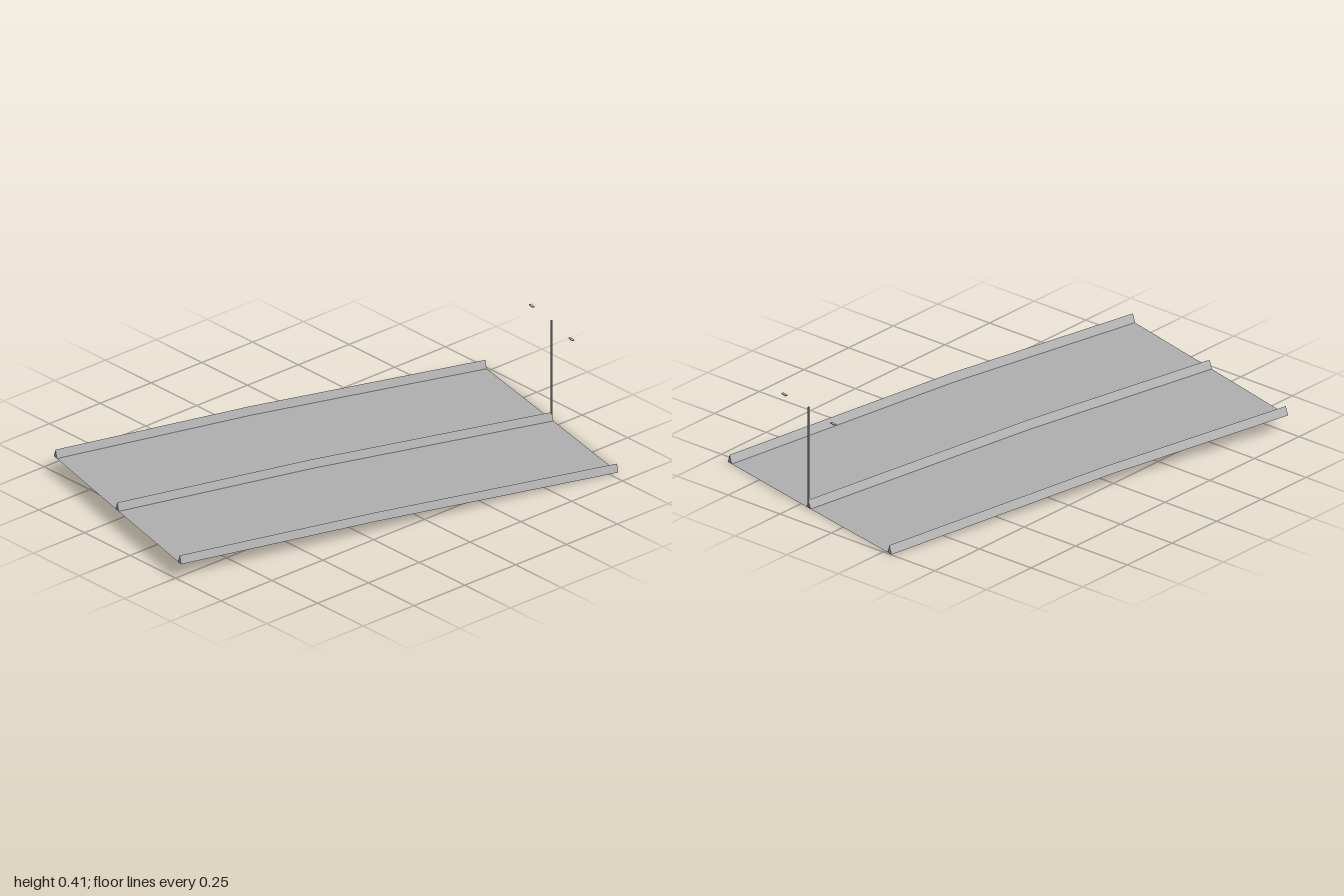
import * as THREE from 'three';

const concrete = new THREE.MeshStandardMaterial({ color: 0xb0b0b0, side: THREE.DoubleSide });
concrete.name = 'concreteGrey';

// Road stations along the right-hand edge line, centre line and far edge line: [x, y, z]
const lines = {
  front: [[-0.996, 0.068, 0.267], [-0.2, 0.05, 0.458], [0.787, 0.001, 0.677]],
  middle: [[-0.877, 0.068, -0.208], [-0.08, 0.05, -0.02], [0.892, 0.001, 0.204]],
  back: [[-0.757, 0.068, -0.681], [0.035, 0.05, -0.497], [0.995, 0.001, -0.277]],
};
const across = new THREE.Vector3(0.24, 0, -0.97); // from the front edge to the back edge

// Flat-shaded surface from a list of rows of points, plus optional cap faces
function loft(name, rows, capEnds = false) {
  const pos = [];
  const tri = (a, b, c) => [a, b, c].forEach((p) => pos.push(p.x, p.y, p.z));
  for (let i = 0; i < rows.length - 1; i++) {
    for (let j = 0; j < rows[i].length - 1; j++) {
      const [a, b, c, d] = [rows[i][j], rows[i + 1][j], rows[i + 1][j + 1], rows[i][j + 1]];
      tri(a, b, c);
      tri(a, c, d);
    }
  }
  if (capEnds) {
    const s = rows[0], e = rows[rows.length - 1];
    tri(s[0], s[1], s[2]);
    tri(e[0], e[2], e[1]);
  }
  const geo = new THREE.BufferGeometry();
  geo.setAttribute('position', new THREE.Float32BufferAttribute(pos, 3));
  geo.computeVertexNormals();
  const mesh = new THREE.Mesh(geo, concrete);
  mesh.name = name;
  return mesh;
}

const point = (p) => new THREE.Vector3(...p);

// Wedge-shaped kerb wall following one of the lines
function barrier(name, line) {
  const profile = [[-0.012, 0], [-0.002, 0.032], [0.012, 0]]; // [across, up]
  const rows = line.map((p) => profile.map(([s, h]) => {
    const v = point(p).addScaledVector(across, s);
    v.y += h;
    return v;
  }));
  return loft(name, rows, true);
}

export function createModel() {
  const model = new THREE.Group();
  model.name = 'roadSection';

  // Road deck: two lanes, bending down once
  const deckRows = [0, 1, 2].map((i) => [lines.front, lines.middle, lines.back].map((l) => point(l[i])));
  model.add(loft('roadDeck', deckRows));

  // Barriers
  for (const key of Object.keys(lines)) model.add(barrier(key + 'Barrier', lines[key]));

  // Lamp post on the centre barrier
  const lampPost = new THREE.Group();
  lampPost.name = 'lampPost';
  lampPost.position.set(0.89, 0, 0.205);
  lampPost.rotation.y = Math.atan2(-0.24, 0.97);
  const pole = new THREE.Mesh(new THREE.BoxGeometry(0.006, 0.408, 0.006), concrete);
  pole.name = 'pole';
  pole.position.y = 0.205;
  lampPost.add(pole);

  // Lamp heads on both sides
  for (const side of [-1, 1]) {
    const lamp = new THREE.Mesh(new THREE.BoxGeometry(0.01, 0.003, 0.026), concrete);
    lamp.name = side > 0 ? 'frontLamp' : 'backLamp';
    lamp.position.set(0, 0.4, side * 0.155);
    lampPost.add(lamp);
  }
  model.add(lampPost);
  return model;
}
